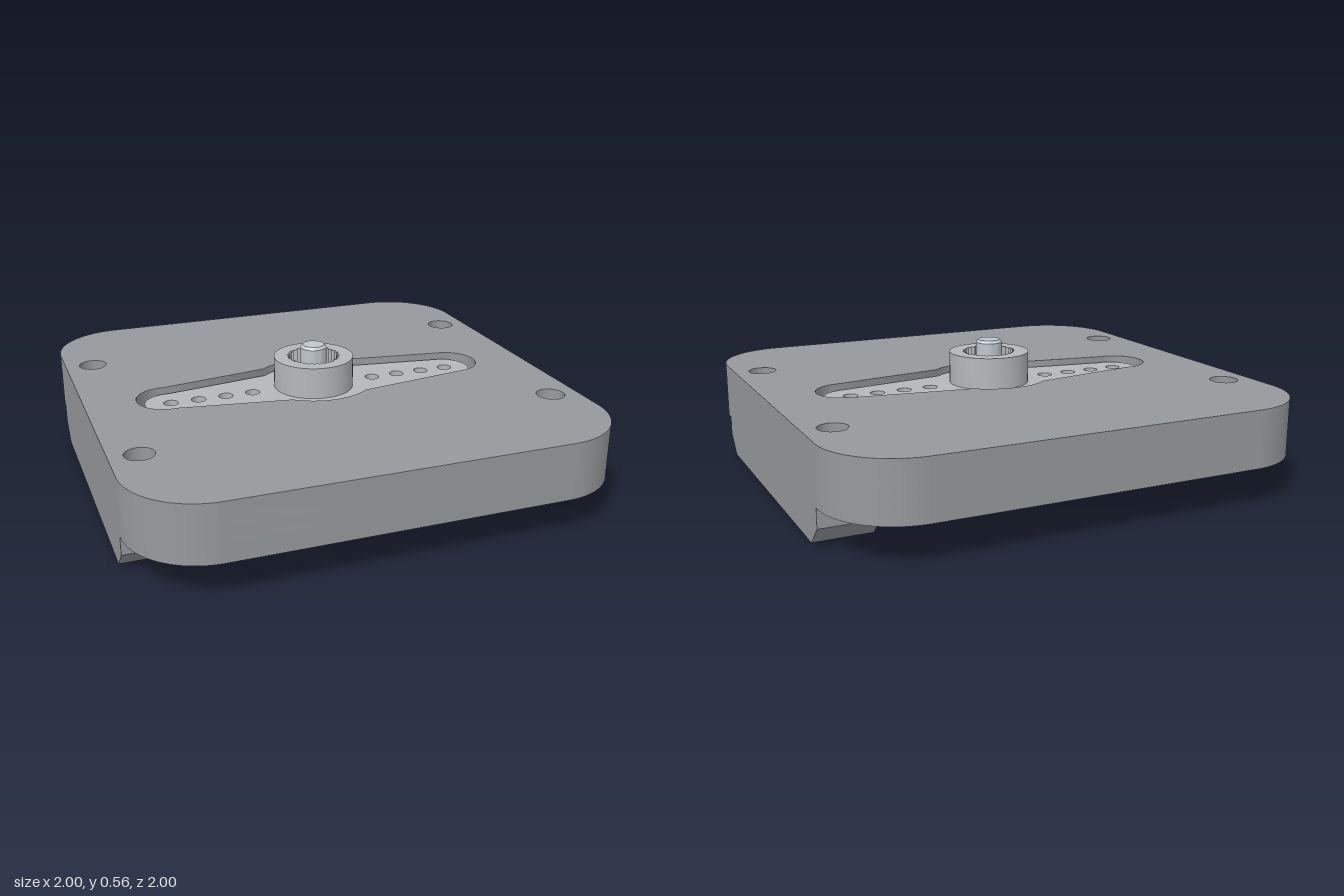
import * as THREE from 'three';
import { toCreasedNormals } from 'three/addons/utils/BufferGeometryUtils.js';
import { ConvexGeometry } from 'three/addons/geometries/ConvexGeometry.js';

const plateGrey = new THREE.MeshStandardMaterial({ color: 0x96999b });
const hornGrey = new THREE.MeshStandardMaterial({ color: 0xb4b8ba });
const steel = new THREE.MeshStandardMaterial({ color: 0xbfc6cb });

// Extrude a plan shape (shape y = -z) from height y0 to y1
function slab(shape, y0, y1, steps = 1) {
  const g = new THREE.ExtrudeGeometry(shape, { depth: y1 - y0, steps, bevelEnabled: false, curveSegments: 24 });
  return g.rotateX(-Math.PI / 2).translate(0, y0, 0);
}

function add(parent, name, geometry, material) {
  const mesh = new THREE.Mesh(toCreasedNormals(geometry, 0.6), material);
  mesh.name = name;
  parent.add(mesh);
  return mesh;
}

const circle = (x, y, r) => new THREE.Path().absarc(x, y, r, 0, Math.PI * 2, false);
const polygon = (pts) => new THREE.Shape(pts.map(([x, y]) => new THREE.Vector2(x, y)));

// Rounded square with four mounting holes
function plateShape() {
  const c = 0.69, r = 0.31, s = new THREE.Shape();
  [[c, c], [-c, c], [-c, -c], [c, -c]].forEach(([x, y], i) =>
    s.absarc(x, y, r, i * Math.PI / 2, (i + 1) * Math.PI / 2, false));
  for (const x of [-0.88, 0.88]) for (const y of [-0.52, 0.52]) s.holes.push(circle(x, y, 0.06));
  return s;
}

// Two-armed outline: central disc, tapering arms, round ends
function hornShape(centreR, shoulder, endX, endR) {
  const a = Math.asin(shoulder / centreR), b = 1.44, P = Math.PI;
  const s = new THREE.Shape();
  s.absarc(0, 0, centreR, a, P - a, false);
  s.absarc(-endX, 0, endR, b, 2 * P - b, false).absarc(0, 0, centreR, P + a, 2 * P - a, false);
  s.absarc(endX, 0, endR, -b, b, false);
  s.closePath();
  return s;
}

export function createModel() {
  const model = new THREE.Group();

  // Plate in three layers: marker recesses below, solid core, horn pocket above
  const plate = new THREE.Group();
  plate.name = 'plate';
  model.add(plate);
  const lower = plateShape();
  lower.holes.push(
    polygon([[0, -0.91], [0.12, -0.73], [-0.12, -0.73]]),
    polygon([[0.11, 0.8], [0, 0.9], [-0.11, 0.8], [0, 0.69]]));
  add(plate, 'plateUnderside', slab(lower, 0.16, 0.24), plateGrey);
  add(plate, 'plateCore', slab(plateShape(), 0.24, 0.3), plateGrey);
  const upper = plateShape();
  upper.holes.push(hornShape(0.26, 0.2, 0.66, 0.125));
  add(plate, 'platePocketLayer', slab(upper, 0.3, 0.4), plateGrey);

  // Side rails, with the lower ends chamfered
  for (const side of [-1, 1]) {
    const x0 = side > 0 ? 0.76 : -1, x1 = x0 + 0.24;
    const s = polygon([[x0, -0.68], [x1, -0.68], [x1, 0.68], [x0, 0.68]]);
    for (const y of [-0.52, 0.52]) s.holes.push(circle(side * 0.88, y, 0.06));
    const g = slab(s, 0, 0.16, 2), p = g.attributes.position;
    for (let i = 0; i < p.count; i++)
      if (p.getY(i) < 0.01 && Math.abs(p.getZ(i)) > 0.67) p.setZ(i, Math.sign(p.getZ(i)) * 0.6);
    add(model, side > 0 ? 'leftRail' : 'rightRail', g, plateGrey);
  }

  // Horn with four holes in each arm
  const horn = hornShape(0.245, 0.18, 0.64, 0.11);
  for (const side of [-1, 1])
    for (let i = 0; i < 4; i++) horn.holes.push(circle(side * (0.28 + 0.12 * i), 0, 0.031));
  add(model, 'horn', slab(horn, 0.3, 0.375), hornGrey);

  // Hub with a toothed bore
  const hub = new THREE.Shape().absarc(0, 0, 0.173, 0, Math.PI * 2, false);
  const teeth = [], count = 30;
  for (let i = 0; i < count * 2; i++) {
    const a = i * Math.PI / count, r = i % 2 ? 0.102 : 0.116;
    teeth.push([r * Math.cos(a), r * Math.sin(a)]);
  }
  hub.holes.push(polygon(teeth));
  add(model, 'hub', slab(hub, 0.375, 0.51), hornGrey);

  // Screw: shaft with a chamfered tip and a cross-slotted domed head
  const screw = new THREE.Group();
  screw.name = 'screw';
  model.add(screw);
  const lathe = (pts) => new THREE.LatheGeometry(pts.map(([r, y]) => new THREE.Vector2(r, y)), 40);
  add(screw, 'screwShaft', lathe([[0.057, 0.16], [0.057, 0.55], [0.047, 0.562], [0, 0.562]]), steel);
  add(screw, 'screwHead', lathe([[0, 0.088], [0.085, 0.088], [0.098, 0.094], [0.11, 0.102], [0.11, 0.16], [0, 0.16]]), steel);
  const half = 0.015, pts = [];
  for (let i = 0; i <= 4; i++) {
    const r = 0.0213 + (0.085 - 0.0213) * i / 4, a0 = Math.asin(half / r);
    for (let j = 0; j <= 8; j++) {
      const a = a0 + (Math.PI / 2 - 2 * a0) * j / 8;
      const x = r * Math.cos(a), z = r * Math.sin(a);
      pts.push(new THREE.Vector3(x, 0.07 + 0.018 * (r / 0.085) ** 2, z));
      if (i === 0 || i === 4) pts.push(new THREE.Vector3(x, 0.09, z));
    }
  }
  for (let k = 0; k < 4; k++)
    add(screw, 'screwHeadQuarter', new ConvexGeometry(pts), steel).rotation.y = k * Math.PI / 2;

  return model;
}
